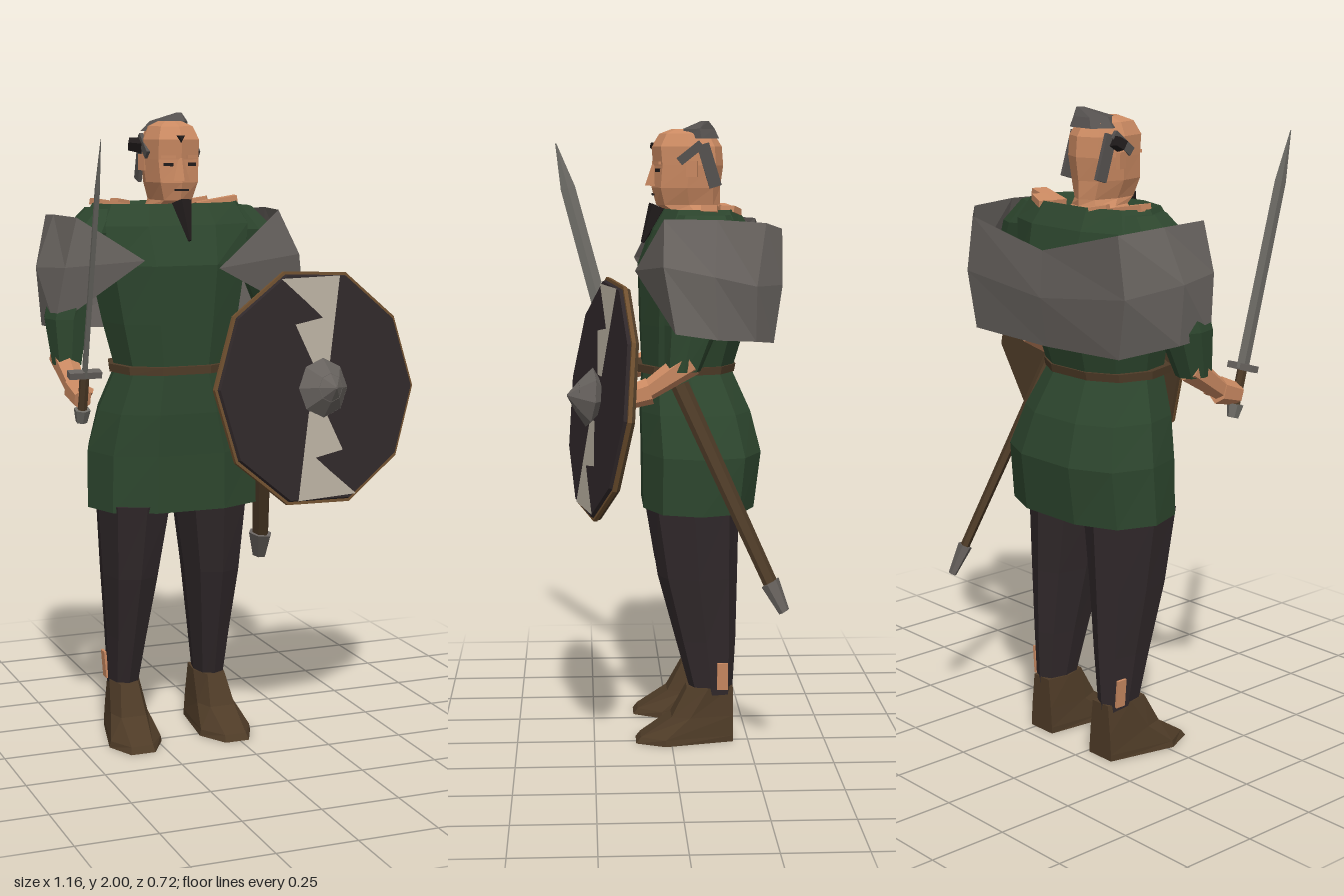
import * as THREE from 'three';

const mat = (name, color, side = THREE.FrontSide) => {
  const m = new THREE.MeshStandardMaterial({ color, side });
  m.name = name;
  return m;
};

// One horizontal cross-section: a squarish oval from zBack to zFront
function ring(y, cx, hx, zBack, zFront, n = 10) {
  const soft = v => Math.sign(v) * Math.abs(v) ** 0.8;
  const cz = (zBack + zFront) / 2, hz = (zFront - zBack) / 2;
  return Array.from({ length: n }, (_, i) => {
    const a = (i / n) * Math.PI * 2;
    return [cx + hx * soft(Math.cos(a)), y, cz + hz * soft(Math.sin(a))];
  });
}

function faceted(points, index) {
  const g = new THREE.BufferGeometry();
  g.setAttribute('position', new THREE.Float32BufferAttribute(points.flat(), 3));
  g.setIndex(index);
  const flat = g.toNonIndexed();
  flat.computeVertexNormals();
  return flat;
}

// Closed body through a stack of rings
function loft(rings) {
  const n = rings[0].length, last = rings.length - 1, pts = rings.flat(), idx = [];
  const mid = r => [0, 1, 2].map(k => r.reduce((s, p) => s + p[k], 0) / n);
  const b = pts.push(mid(rings[0])) - 1, t = pts.push(mid(rings[last])) - 1;
  for (let j = 0; j < n; j++) {
    const k = (j + 1) % n;
    for (let i = 0; i < last; i++) {
      const p = i * n, q = p + n;
      idx.push(p + j, q + j, p + k, p + k, q + j, q + k);
    }
    idx.push(b, j, k, t, last * n + k, last * n + j);
  }
  return faceted(pts, idx);
}

// Open cloth through columns of points
function sheet(cols) {
  const n = cols[0].length, idx = [];
  for (let i = 0; i < cols.length - 1; i++) for (let j = 0; j < n - 1; j++) {
    const a = i * n + j, b = a + n;
    idx.push(a, a + 1, b, b, a + 1, b + 1);
  }
  return faceted(cols.flat(), idx);
}

export function createModel() {
  const model = new THREE.Group();
  model.name = 'shieldWarrior';
  const green = mat('tunicGreen', 0x2d462e), skin = mat('skin', 0xcb8a62);
  const grey = mat('cloakGrey', 0x67625e, THREE.DoubleSide), dark = mat('darkCloth', 0x30282a);
  const leather = mat('leatherBrown', 0x4e3b27), wood = mat('rimBrown', 0x70502f);
  const cream = mat('shieldCream', 0xb9b0a0, THREE.DoubleSide), steel = mat('steel', 0x706e68);
  const hairMat = mat('hairGrey', 0x55514f), black = mat('nearBlack', 0x201b1b);

  const add = (name, geo, material, parent = model) => {
    const m = new THREE.Mesh(geo, material);
    m.name = name;
    parent.add(m);
    return m;
  };
  const box = (name, size, pos, material, rot = [0, 0, 0]) => {
    const m = add(name, new THREE.BoxGeometry(...size), material);
    m.position.set(...pos);
    m.rotation.set(...rot);
    return m;
  };
  // Tapered faceted bar from a to b, flattened by sx or sz
  const bar = (name, a, b, ra, rb, material, n = 6, sx = 1, sz = 1) => {
    const A = new THREE.Vector3(...a), B = new THREE.Vector3(...b), d = B.clone().sub(A);
    const g = new THREE.CylinderGeometry(rb, ra, d.length(), n).toNonIndexed();
    g.computeVertexNormals();
    const m = add(name, g, material);
    m.scale.set(sx, 1, sz);
    m.position.copy(A).add(B).multiplyScalar(0.5);
    m.quaternion.setFromUnitVectors(new THREE.Vector3(0, 1, 0), d.normalize());
    return m;
  };

  // Tunic with a dipped collar, and belt
  add('tunic', loft([
    ring(0.77, -0.155, 0.285, -0.275, 0.095), ring(0.95, -0.155, 0.28, -0.298, 0.097),
    ring(1.08, -0.165, 0.24, -0.265, 0.1), ring(1.21, -0.17, 0.185, -0.205, 0.092),
    ring(1.36, -0.17, 0.22, -0.25, 0.1), ring(1.54, -0.17, 0.255, -0.29, 0.105),
    ring(1.66, -0.17, 0.28, -0.26, 0.06), ring(1.725, -0.17, 0.24, -0.22, 0.02),
    ring(1.695, -0.17, 0.095, -0.19, 0.0),
  ]), green);
  add('belt', loft([ring(1.205, -0.175, 0.2, -0.213, 0.112), ring(1.23, -0.175, 0.202, -0.218, 0.112)]), leather);
  // Bare patches on the shoulders
  for (const [x, z, w, d, r] of [[-0.29, -0.19, 0.055, 0.035, 0.5], [-0.35, -0.12, 0.11, 0.05, 0.2],
    [-0.035, -0.19, 0.075, 0.045, -0.4], [0.01, -0.125, 0.13, 0.05, -0.2]])
    box('shoulderPatch', [w, 0.02, d], [x, 1.721, z], skin, [0, r, x < -0.17 ? -0.17 : 0.17]);

  for (const s of [-1, 1]) {
    const side = s < 0 ? 'right' : 'left', X = v => -0.16 + s * v, L = v => -0.17 + s * v;
    // Legs and ankle patches
    add(side + 'Leg', loft([
      ring(0.16, L(0.148), 0.045, -0.2, -0.065, 8), ring(0.34, L(0.143), 0.062, -0.21, -0.015, 8),
      ring(0.55, L(0.138), 0.086, -0.215, 0.042, 8), ring(0.79, L(0.128), 0.114, -0.22, 0.082, 8),
    ]), dark);
    box(side + 'AnklePatch', [0.008, 0.09, 0.035], [L(0.196), 0.225, -0.165], skin, [0, 0, s * -0.08]);

    // Boots, turned out towards the toes
    const foot = ([y, zb, zm, zf, wb, wm, wf]) => [[wm, zm], [wf, zf], [-wf, zf], [-wm, zm], [-wb, zb], [wb, zb]]
      .map(([x, z]) => [L(0.143) + x + s * 0.06 * (z + 0.16), y, z]);
    add(side + 'Boot', loft([
      [0.005, -0.2, 0.02, 0.115, 0.05, 0.088, 0.04], [0.025, -0.2, 0.02, 0.1, 0.05, 0.084, 0.036],
      [0.09, -0.2, -0.06, -0.0, 0.045, 0.062, 0.042], [0.185, -0.2, -0.12, -0.05, 0.035, 0.05, 0.03],
    ].map(foot)), leather);

    // Sleeves, forearms and hands
    const out = s < 0 ? 0.012 : 0;
    add(side + 'Sleeve', loft([
      ring(1.24, X(0.35 + out), 0.045, -0.08, 0.03, 8), ring(1.38, X(0.342 + out), 0.055 + out, -0.14, 0.03, 8),
      ring(1.52, X(0.315), 0.072, -0.2, 0.02, 8), ring(1.64, X(0.26), 0.08, -0.21, 0.02, 8),
      ring(1.71, X(0.215), 0.055, -0.18, -0.02, 8),
    ]), green);
    const hx = s < 0 ? -0.527 : 0.195;
    bar(side + 'Forearm', [hx, 1.27, -0.05], [hx, 1.175, 0.09], 0.045, 0.03, skin);
    bar(side + 'Hand', [hx, 1.18, 0.075], [hx, 1.155, 0.155], 0.042, 0.034, skin, 6, 0.85);
    bar(side + 'Thumb', [hx - s * 0.01, 1.18, 0.07], [hx - s * 0.055, 1.165, 0.08], 0.022, 0.012, skin, 5);
  }

  // Stiff mantle wrapped around the shoulders and back
  const tipR = [-0.31, 1.56, 0.108], tipL = [-0.07, 1.53, 0.112];
  add('mantle', sheet([
    [tipR, tipR, tipR],
    [[-0.5, 1.69, 0.03], [-0.54, 1.54, 0.035], [-0.565, 1.36, 0.0]],
    [[-0.52, 1.69, -0.15], [-0.585, 1.53, -0.13], [-0.57, 1.35, -0.13]],
    [[-0.5, 1.68, -0.31], [-0.53, 1.5, -0.31], [-0.49, 1.32, -0.295]],
    [[-0.18, 1.6, -0.315], [-0.18, 1.46, -0.325], [-0.18, 1.31, -0.3]],
    [[0.12, 1.67, -0.335], [0.15, 1.5, -0.335], [0.14, 1.32, -0.31]],
    [[0.18, 1.69, -0.28], [0.225, 1.5, -0.25], [0.2, 1.33, -0.25]],
    [[0.18, 1.7, -0.13], [0.25, 1.53, -0.12], [0.255, 1.34, -0.13]],
    [[0.16, 1.7, 0.03], [0.23, 1.56, 0.035], [0.265, 1.36, 0.0]],
    [tipL, tipL, tipL],
  ]), grey);

  // Head and neck
  add('head', loft([
    ring(1.67, -0.17, 0.115, -0.2, 0.03, 8), ring(1.715, -0.17, 0.07, -0.165, 0.005, 8),
    ring(1.735, -0.17, 0.06, -0.165, 0.04, 8), ring(1.79, -0.17, 0.08, -0.165, 0.055, 8),
    ring(1.86, -0.17, 0.086, -0.175, 0.05, 8), ring(1.92, -0.17, 0.086, -0.17, 0.055, 8),
    ring(1.96, -0.17, 0.068, -0.145, 0.03, 8), ring(1.975, -0.17, 0.035, -0.12, -0.01, 8),
  ]), skin);
  bar('nose', [-0.17, 1.795, 0.05], [-0.17, 1.865, 0.045], 0.026, 0.008, skin, 4);
  box('mouth', [0.045, 0.006, 0.008], [-0.17, 1.768, 0.05], black);
  for (const s of [-1, 1]) {
    box('eye', [0.03, 0.01, 0.006], [-0.17 + s * 0.038, 1.845, 0.036], black, [0, s * 0.4, 0]);
    box('brow', [0.045, 0.01, 0.012], [-0.17 + s * 0.038, 1.868, 0.038], skin, [0, s * 0.4, 0]);
    box('ear', [0.014, 0.05, 0.035], [-0.17 + s * 0.083, 1.85, -0.07], skin, [0, s * -0.3, 0]);
    box('sideHair', [0.012, 0.09, 0.028], [-0.17 + s * 0.082, 1.9, -0.065], hairMat, [-0.9, 0, 0]);
    box('backHair', [0.012, 0.14, 0.04], [-0.17 + s * 0.075, 1.86, -0.125], hairMat, [0.3, 0, 0]);
  }
  // Crown ridge, tuft and beard
  add('crownHair', loft([
    ring(1.945, -0.17, 0.08, -0.165, -0.035, 6), ring(1.975, -0.16, 0.062, -0.15, -0.04, 6),
    ring(2.0, -0.12, 0.01, -0.125, -0.1, 6),
  ]), hairMat);
  bar('hairTuft', [-0.25, 1.9, -0.09], [-0.29, 1.905, -0.1], 0.025, 0.02, black, 4);
  bar('foreheadMark', [-0.172, 1.925, 0.05], [-0.172, 1.927, 0.058], 0.016, 0.01, black, 3);
  bar('beard', [-0.165, 1.73, 0.035], [-0.157, 1.615, 0.085], 0.032, 0.006, black, 5);

  // Sword
  const S = y => [-0.527, y, 0.175 + (y - 1.22) * 0.267];
  bar('swordBlade', S(1.23), S(1.78), 0.027, 0.025, steel, 4, 0.2);
  bar('swordTip', S(1.78), S(1.93), 0.025, 0.002, steel, 4, 0.2);
  box('swordGuard', [0.1, 0.02, 0.03], S(1.235), grey, [0.26, 0, 0]);
  bar('swordGrip', S(1.11), S(1.235), 0.015, 0.015, leather);
  bar('swordPommel', S(1.085), S(1.125), 0.018, 0.026, steel);

  // Scabbard hanging behind the left hip, flat side towards the hip
  const tipStart = [0.236, 0.585, -0.295];
  bar('scabbard', [0.13, 1.19, -0.02], tipStart, 0.038, 0.03, leather, 6, 1, 0.5);
  bar('scabbardTip', tipStart, [0.25, 0.495, -0.338], 0.042, 0.024, grey, 6, 1, 0.55);

  // Ten-sided round shield, turned slightly outwards and up
  const shield = new THREE.Group();
  shield.name = 'shield';
  shield.position.set(0.207, 1.16, 0.222);
  shield.rotation.set(-0.12, 0.21, 0, 'YXZ');
  model.add(shield);
  const disc = (name, r0, r1, h, z, m, n = 10) => {
    const g = new THREE.CylinderGeometry(r1, r0, h, n).toNonIndexed();
    g.computeVertexNormals();
    g.rotateX(Math.PI / 2);
    // puts a corner on the x axis, a few degrees off level
    g.rotateZ(Math.PI / 2 - 0.06);
    add(name, g, m, shield).position.z = z;
  };
  disc('shieldBack', 0.37, 0.375, 0.012, -0.01, leather);
  disc('shieldRim', 0.377, 0.377, 0.012, 0.001, wood);
  disc('shieldFace', 0.369, 0.363, 0.014, 0.01, dark);
  const bolt = new THREE.Shape([[-0.116, 0.342], [0.106, 0.342], [0.045, 0.07], [-0.015, 0.07], [-0.075, 0.2],
    [0.03, 0.215], [-0.02, 0.26]].map(p => new THREE.Vector2(...p)));
  for (const turn of [0, Math.PI]) {
    const m = add('shieldStripe', new THREE.ShapeGeometry(bolt), cream, shield);
    m.position.z = 0.0195;
    m.rotation.z = turn;
  }
  disc('bossBase', 0.06, 0.092, 0.025, 0.028, grey, 8);
  disc('bossDome', 0.092, 0.045, 0.04, 0.06, grey, 8);
  disc('bossPoint', 0.045, 0.004, 0.03, 0.094, grey, 8);
  return model;
}
